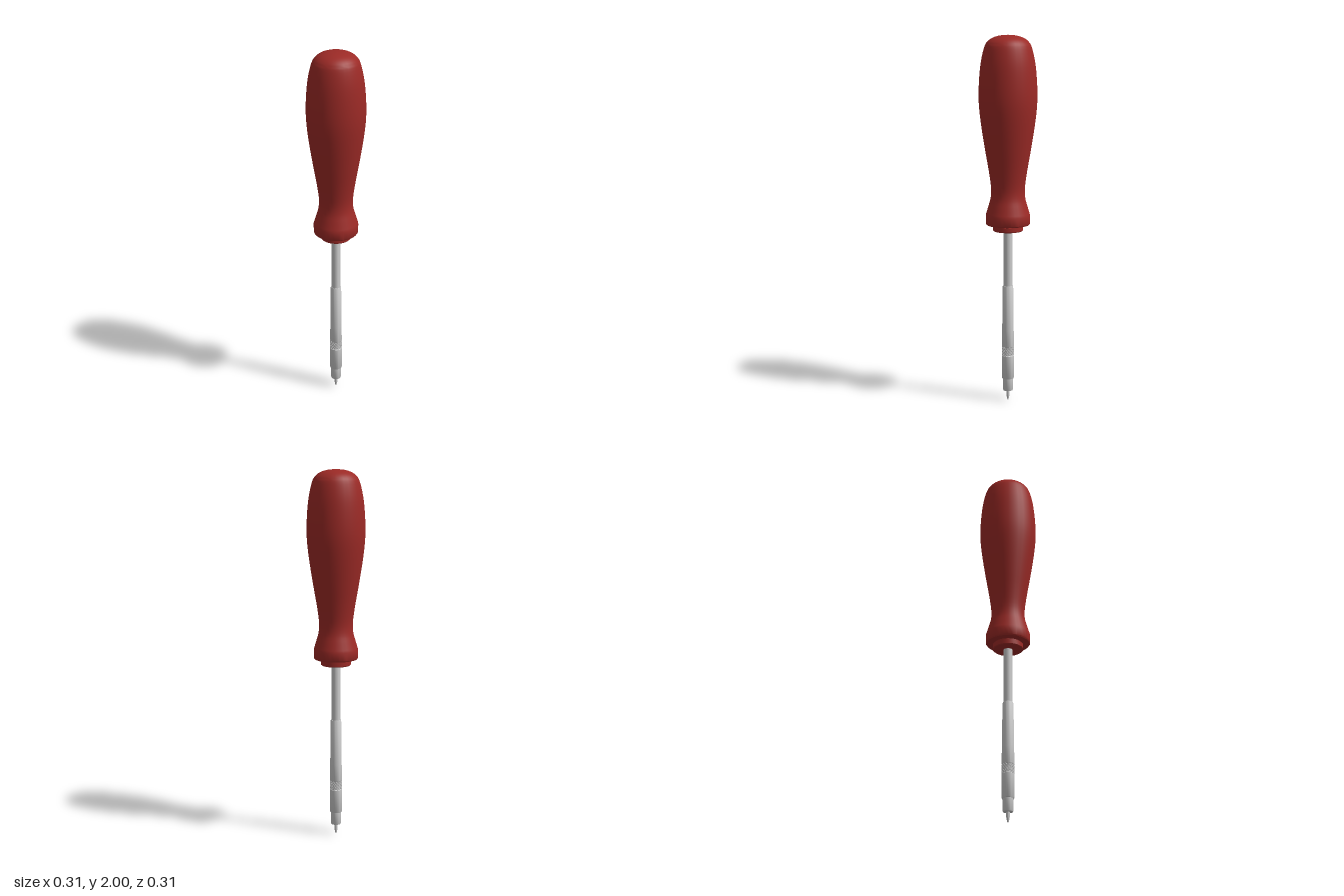
import * as THREE from 'three';
import { toCreasedNormals } from 'three/addons/utils/BufferGeometryUtils.js';

const red = new THREE.MeshStandardMaterial({ color: 0x9c2a26 });
const steel = new THREE.MeshStandardMaterial({ color: 0xcccccc });

// Turned part from [radius, y] pairs, listed bottom to top
function turned(name, profile, material, sides) {
  const points = profile.map(([r, y]) => new THREE.Vector2(r, y));
  const geometry = toCreasedNormals(new THREE.LatheGeometry(points, sides), 0.6);
  const mesh = new THREE.Mesh(geometry, material);
  mesh.name = name;
  return mesh;
}

// Fine wire wound part of a turn around the shaft
function helix(radius, y0, y1, start, sweep) {
  const points = [];
  for (let i = 0; i <= 4; i++) {
    const t = i / 4, a = start + sweep * t;
    points.push(new THREE.Vector3(radius * Math.cos(a), y0 + (y1 - y0) * t, radius * Math.sin(a)));
  }
  return new THREE.TubeGeometry(new THREE.CatmullRomCurve3(points), 8, 0.0022, 4);
}

export function createModel() {
  const group = new THREE.Group();
  group.name = 'screwdriver';

  // Handle: smooth grip above a flared foot
  const grip = new THREE.SplineCurve([
    [0.12, 1.04], [0.105, 1.09], [0.093, 1.135], [0.091, 1.19], [0.103, 1.28], [0.122, 1.39],
    [0.141, 1.51], [0.153, 1.61], [0.156, 1.69], [0.152, 1.78], [0.143, 1.86], [0.127, 1.93],
    [0.112, 1.961], [0.085, 1.983], [0.045, 1.996], [0, 2],
  ].map(([r, y]) => new THREE.Vector2(r, y))).getPoints(48).map((p) => [Math.max(p.x, 0), p.y]);
  group.add(turned('handle', [[0, 0.99], [0.116, 0.99], [0.12, 0.996], ...grip], red, 32));

  // Collar with a narrow groove under the handle
  group.add(turned('collar', [
    [0, 0.955], [0.078, 0.955], [0.082, 0.959], [0.082, 0.983], [0.075, 0.985], [0.075, 0.992],
  ], red, 32));

  // Shaft: thin rod stepping into a wider bit holder
  group.add(turned('shaft', [[0.024, 0.64], [0.024, 0.96]], steel, 24));
  group.add(turned('bitHolder', [
    [0, 0.125], [0.032, 0.125], [0.034, 0.129], [0.034, 0.255], [0.031, 0.258],
    [0.031, 0.305], [0.033, 0.308], [0.032, 0.4], [0.029, 0.645], [0.027, 0.65], [0, 0.65],
  ], steel, 24));
  group.add(turned('nose', [
    [0, 0.055], [0.026, 0.055], [0.028, 0.06], [0.028, 0.13],
  ], steel, 24));

  // Knurled band made of crossing helices
  const knurl = new THREE.Group();
  knurl.name = 'knurledBand';
  const count = 14;
  for (let i = 0; i < count; i++) {
    for (const direction of [1, -1]) {
      const geometry = helix(0.0318, 0.258, 0.306, (i / count) * Math.PI * 2, direction * 1.2);
      knurl.add(new THREE.Mesh(geometry, steel));
    }
  }
  group.add(knurl);

  // Bit tip
  group.add(turned('tip', [
    [0, 0], [0.003, 0], [0.008, 0.02], [0.009, 0.026], [0.009, 0.06],
  ], steel, 16));

  return group;
}
